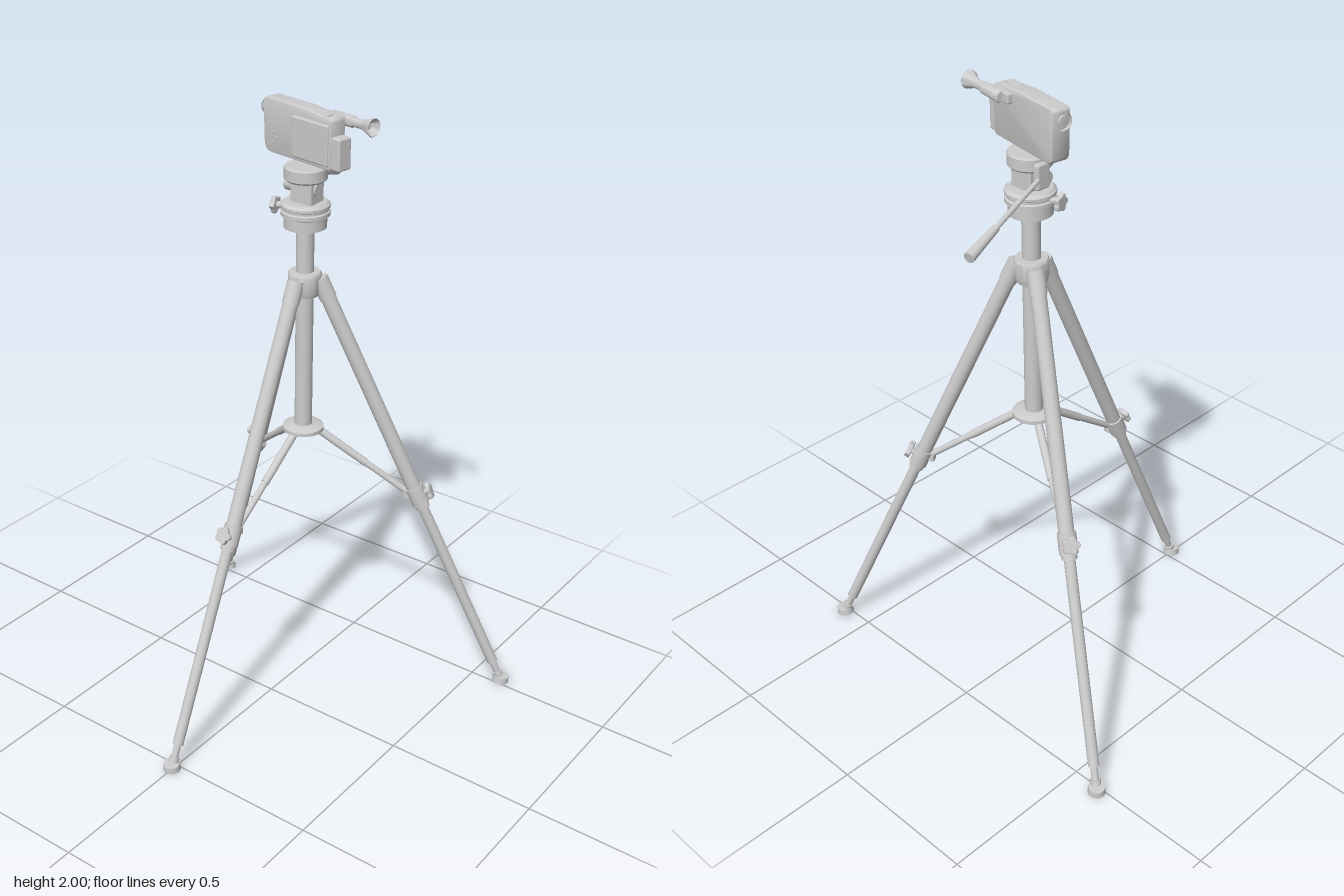
import * as THREE from 'three';
import { toCreasedNormals } from 'three/addons/utils/BufferGeometryUtils.js';
import { RoundedBoxGeometry } from 'three/addons/geometries/RoundedBoxGeometry.js';

const material = new THREE.MeshStandardMaterial({ color: 0xcccccc });
const AXIS_Z = -0.17; // the centre column stands here
const UP = new THREE.Vector3(0, 1, 0);

function add(parent, name, geometry, x = 0, y = 0, z = 0) {
  const mesh = new THREE.Mesh(geometry, material);
  mesh.name = name;
  mesh.position.set(x, y, z);
  parent.add(mesh);
  return mesh;
}

// Round rod from point a to point b
function rod(parent, name, a, b, ra, rb = ra, sides = 24) {
  const p = new THREE.Vector3(...a), q = new THREE.Vector3(...b);
  const mesh = add(parent, name, new THREE.CylinderGeometry(rb, ra, p.distanceTo(q), sides));
  mesh.position.copy(p).lerp(q, 0.5);
  mesh.quaternion.setFromUnitVectors(UP, q.sub(p).normalize());
  return mesh;
}

// Turned part from [radius, height] pairs
function turned(parent, name, profile) {
  const geometry = new THREE.LatheGeometry(profile.map(p => new THREE.Vector2(...p)), 40);
  return add(parent, name, toCreasedNormals(geometry, 0.6));
}

// Lobed hand knob on a short stem, pointing along direction
function knob(parent, name, position, direction, size) {
  const shape = new THREE.Shape();
  const steps = 36;
  for (let i = 0; i < steps; i++) {
    const t = (i / steps) * Math.PI * 2;
    const r = size * (0.85 + 0.15 * Math.cos(5 * t));
    shape[i ? 'lineTo' : 'moveTo'](r * Math.cos(t), r * Math.sin(t));
  }
  const group = new THREE.Group();
  group.name = name;
  group.position.set(...position);
  group.quaternion.setFromUnitVectors(new THREE.Vector3(0, 0, 1), new THREE.Vector3(...direction).normalize());
  const head = new THREE.ExtrudeGeometry(shape, { depth: 0.012, bevelSize: 0.002, bevelThickness: 0.002, bevelSegments: 1 });
  add(group, 'knobHead', toCreasedNormals(head, 0.6));
  rod(group, 'knobStem', [0, 0, -0.03], [0, 0, 0.002], size * 0.4);
  parent.add(group);
}

// One leg, leaning out along +z from the column axis
function leg(name, angle) {
  const group = new THREE.Group();
  group.name = name;
  group.rotation.y = angle;
  const at = y => [0, y, 0.377 + (0.72 - y) * 0.446];
  rod(group, 'legSocket', at(1.4), at(1.465), 0.027);
  rod(group, 'upperTube', at(0.72), at(1.45), 0.024);
  rod(group, 'legClamp', at(0.69), at(0.75), 0.029);
  rod(group, 'clampCollar', at(0.675), at(0.69), 0.024);
  rod(group, 'lowerTube', at(0.08), at(0.72), 0.0175);
  rod(group, 'footNeck', at(0.02), at(0.085), 0.011);
  rod(group, 'footCollar', at(0.025), at(0.04), 0.016);
  const pad = add(group, 'footPad', new THREE.CylinderGeometry(0.026, 0.028, 0.022, 32), 0, 0.0138, 0.695);
  pad.rotation.x = 0.1;
  knob(group, 'legKnob', [0, 0.735, 0.41], [0, 0.407, 0.913], 0.027);
  // two-stage brace from the spreader ring to the clamp
  rod(group, 'braceInner', [0, 0.94, 0.05], [0, 0.83, 0.203], 0.013);
  rod(group, 'braceOuter', [0, 0.84, 0.189], [0, 0.722, 0.355], 0.0105);
  add(group, 'braceHinge', new THREE.BoxGeometry(0.022, 0.03, 0.03), 0, 0.724, 0.348);
  return group;
}

function head() {
  const group = new THREE.Group();
  group.name = 'panHead';
  turned(group, 'panBase', [[0, 1.63], [0.066, 1.63], [0.066, 1.665], [0.076, 1.67], [0.076, 1.682],
    [0.071, 1.685], [0.071, 1.692], [0.076, 1.695], [0.076, 1.703], [0.066, 1.712], [0, 1.712]]);
  add(group, 'tiltBlock', new RoundedBoxGeometry(0.078, 0.085, 0.07, 2, 0.006), 0.005, 1.745, 0);
  rod(group, 'tiltAxle', [-0.068, 1.755, 0], [0.05, 1.755, 0], 0.022);
  turned(group, 'topPlate', [[0, 1.777], [0.06, 1.777], [0.066, 1.783], [0.066, 1.817], [0.062, 1.822], [0, 1.822]]);
  // handle bracket, rod and grip, sloping down to the rear
  add(group, 'handleBracket', new RoundedBoxGeometry(0.022, 0.08, 0.05, 2, 0.008), -0.065, 1.77, -0.02);
  rod(group, 'handleRod', [-0.066, 1.768, -0.02], [-0.125, 1.71, -0.26], 0.007, 0.008);
  rod(group, 'handleGrip', [-0.122, 1.712, -0.25], [-0.151, 1.679, -0.378], 0.011, 0.0165);
  knob(group, 'panKnob', [-0.093, 1.685, 0.02], [-1, 0, 0.2], 0.026);
  return group;
}

function camera() {
  const group = new THREE.Group();
  group.name = 'videoCamera';
  group.position.set(-0.02, 0, -0.18);
  group.rotation.y = -0.18;
  // side outline of the body, extruded across its thickness
  const s = new THREE.Shape();
  s.moveTo(-0.105, 1.839);
  s.lineTo(0.136, 1.839);
  s.quadraticCurveTo(0.144, 1.839, 0.144, 1.847);
  s.lineTo(0.144, 1.975);
  s.quadraticCurveTo(0.144, 1.986, 0.13, 1.987);
  s.lineTo(0.02, 1.996);
  s.lineTo(-0.13, 1.996);
  s.quadraticCurveTo(-0.139, 1.995, -0.139, 1.985);
  s.lineTo(-0.134, 1.86);
  s.quadraticCurveTo(-0.13, 1.84, -0.105, 1.839);
  const body = new THREE.ExtrudeGeometry(s, { depth: 0.044, bevelSize: 0.004, bevelThickness: 0.007, bevelSegments: 3, curveSegments: 6 });
  body.translate(0, 0, -0.022);
  add(group, 'cameraBody', toCreasedNormals(body, 0.6));
  add(group, 'gripPanel', new RoundedBoxGeometry(0.15, 0.125, 0.014, 3, 0.006), 0.062, 1.908, 0.028);
  add(group, 'battery', new RoundedBoxGeometry(0.045, 0.098, 0.05, 2, 0.006), 0.158, 1.888, 0.002);
  add(group, 'topStrip', new RoundedBoxGeometry(0.13, 0.008, 0.022, 2, 0.003), 0.06, 1.992, 0.012);
  // lens at the -x end
  const lens = turned(group, 'lens', [[0, 0.004], [0.017, 0.004], [0.019, 0.014], [0.024, 0.014], [0.026, 0.01], [0.026, -0.02], [0, -0.02]]);
  lens.position.set(-0.142, 1.965, 0);
  lens.rotation.z = Math.PI / 2;
  // viewfinder with a flared eyecup at the +x end
  add(group, 'viewfinderMount', new RoundedBoxGeometry(0.09, 0.032, 0.025, 2, 0.006), 0.095, 1.972, -0.034);
  const finder = turned(group, 'viewfinder', [[0, 0], [0.016, 0], [0.018, 0.004], [0.018, 0.085], [0.014, 0.09],
    [0.014, 0.125], [0.018, 0.14], [0.028, 0.166], [0.026, 0.168], [0.012, 0.145], [0, 0.145]]);
  finder.position.set(0.075, 1.972, -0.048);
  finder.rotation.z = -Math.PI / 2;
  // small side buttons
  for (const [x, y] of [[-0.1, 1.9], [-0.085, 1.885], [-0.1, 1.87]]) {
    rod(group, 'button', [x, y, 0.025], [x, y, 0.032], 0.005, 0.005, 12);
  }
  return group;
}

export function createModel() {
  const model = new THREE.Group();
  model.name = 'cameraOnTripod';
  const tripod = new THREE.Group();
  tripod.name = 'tripod';
  tripod.position.z = AXIS_Z;
  model.add(tripod);

  rod(tripod, 'centreColumn', [0, 0.94, 0], [0, 1.64, 0], 0.028, 0.028, 32);
  turned(tripod, 'legHub', [[0, 1.41], [0.046, 1.41], [0.052, 1.43], [0.052, 1.48], [0.048, 1.486], [0, 1.486]]);
  turned(tripod, 'spreaderRing', [[0, 0.932], [0.045, 0.932], [0.05, 0.94], [0.066, 0.942], [0.066, 0.954], [0.045, 0.962], [0, 0.962]]);
  ['frontLeg', 'leftBackLeg', 'rightBackLeg'].forEach((name, i) => tripod.add(leg(name, (i * Math.PI * 2) / 3)));
  tripod.add(head());
  model.add(camera());
  return model;
}
